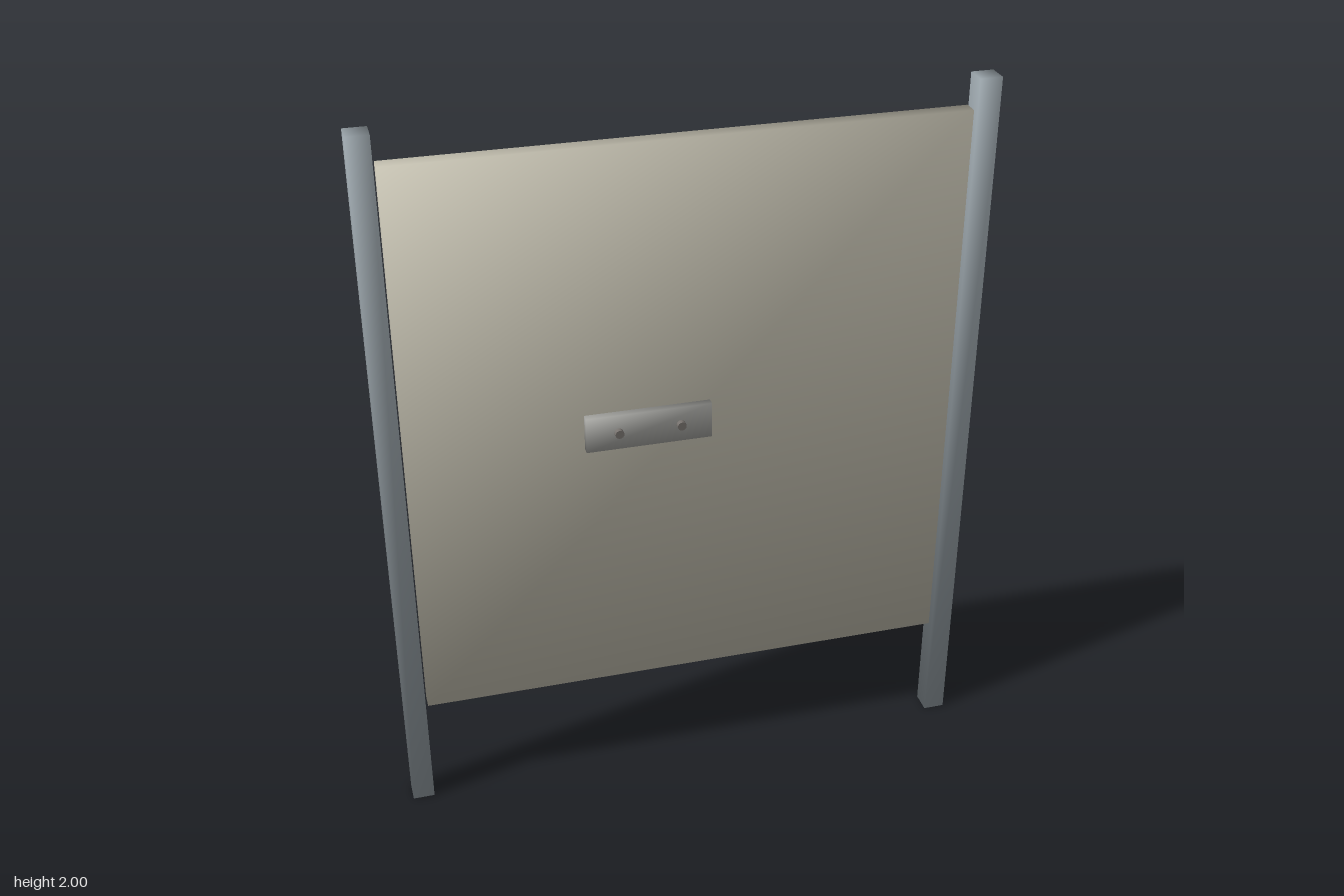
import * as THREE from 'three';

const material = (color) => new THREE.MeshStandardMaterial({ color });

// Box given by its limits, with normals blended smoothly around the corners
function softBox(name, mat, [x0, x1], [y0, y1], [z0, z1]) {
  const geo = new THREE.BoxGeometry(x1 - x0, y1 - y0, z1 - z0);
  const { position, normal } = geo.attributes;
  const n = new THREE.Vector3();
  for (let i = 0; i < position.count; i++) {
    n.fromBufferAttribute(position, i);
    n.set(Math.sign(n.x), Math.sign(n.y), Math.sign(n.z)).normalize();
    normal.setXYZ(i, n.x, n.y, n.z);
  }
  const mesh = new THREE.Mesh(geo, mat);
  mesh.name = name;
  mesh.position.set((x0 + x1) / 2, (y0 + y1) / 2, (z0 + z1) / 2);
  return mesh;
}

export function createModel() {
  const model = new THREE.Group();
  model.name = 'panelBetweenPosts';
  const postMat = material(0x9aa4aa);
  const panelMat = material(0xc8c4b4);
  const plateMat = material(0xa8a8a4);
  const screwMat = material(0x77726e);

  // Upright posts
  model.add(softBox('leftPost', postMat, [0.757, 0.817], [0, 2], [-0.05, 0.01]));
  model.add(softBox('rightPost', postMat, [-0.817, -0.757], [0, 2], [-0.05, 0.01]));

  // Large sheet between the posts
  model.add(softBox('panel', panelMat, [-0.75, 0.75], [0.32, 1.917], [-0.04, 0.002]));

  // Small plate standing just off the panel
  model.add(softBox('plate', plateMat, [-0.28, 0.06], [1.09, 1.19], [0.014, 0.036]));

  // Two screw heads on the plate
  for (const x of [-0.193, -0.025]) {
    const screw = new THREE.Mesh(new THREE.CylinderGeometry(0.012, 0.012, 0.016, 16), screwMat);
    screw.name = 'screw';
    screw.rotation.x = Math.PI / 2;
    screw.position.set(x, 1.14, 0.042);
    model.add(screw);
  }
  return model;
}
